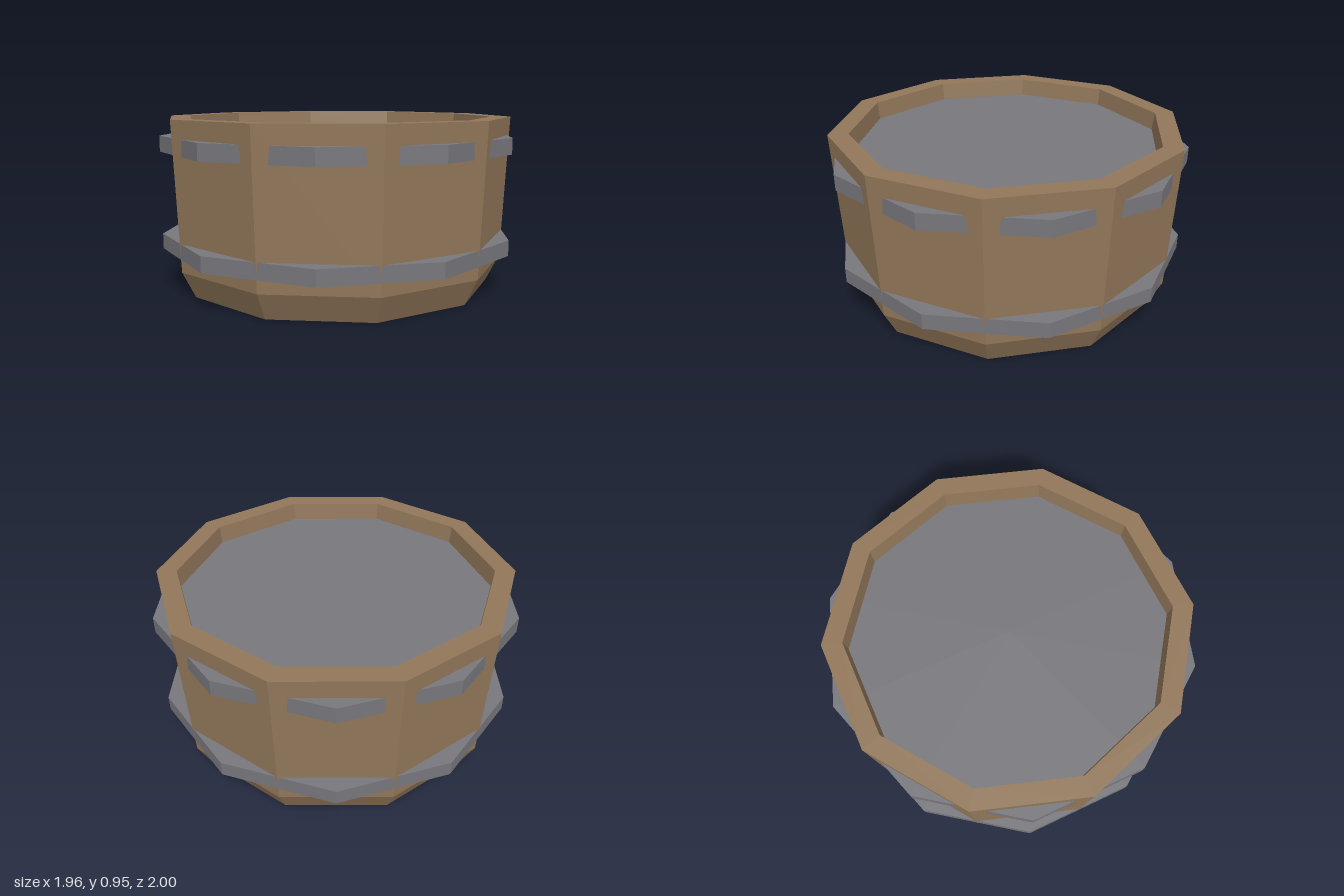
import * as THREE from 'three';

const SIDES = 10;

export function createModel() {
  const group = new THREE.Group();
  const wood = new THREE.MeshStandardMaterial({ color: 0x92775a, flatShading: true });
  const metal = new THREE.MeshStandardMaterial({ color: 0x77777c, flatShading: true });

  // Ten-sided tub: base, bevelled foot, flared wall, rim, inner wall and floor
  const profile = [
    [0, 0], [0.875, 0], [0.947, 0.145], [0.982, 0.947],
    [0.871, 0.947], [0.86, 0.85], [0.8, 0.1], [0, 0.1],
  ].map(([r, y]) => new THREE.Vector2(r, y));
  const tub = new THREE.Mesh(new THREE.LatheGeometry(profile, SIDES), wood);
  tub.rotation.y = Math.PI / SIDES;
  tub.name = 'tub';
  group.add(tub);

  // Solid bands turned half a side from the tub; the upper one also closes the inside
  const addBand = (name, bottom, top) => {
    const band = new THREE.Mesh(new THREE.CylinderGeometry(1, 1, top - bottom, SIDES), metal);
    band.position.y = (bottom + top) / 2;
    band.name = name;
    group.add(band);
  };
  addBand('lowerBand', 0.215, 0.3);
  addBand('upperBand', 0.76, 0.848);

  return group;
}
